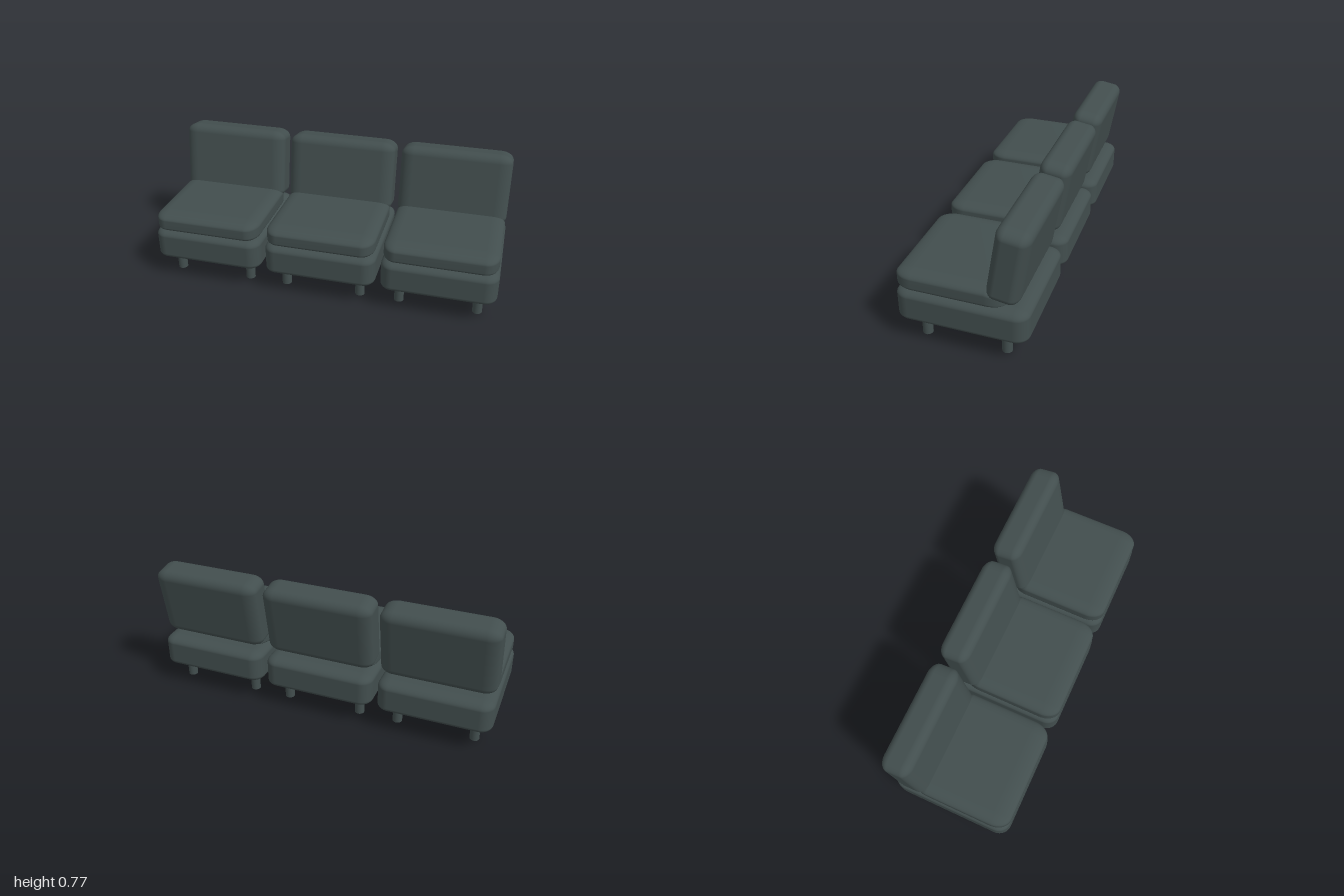
import * as THREE from 'three';
import { mergeVertices } from 'three/addons/utils/BufferGeometryUtils.js';
import { RoundedBoxGeometry } from 'three/addons/geometries/RoundedBoxGeometry.js';

const MODULE_SPACING = 0.675;

// Padded block whose edge radius differs along each axis
function cushion(w, h, d, rx, ry, rz) {
  return new RoundedBoxGeometry(w / rx, h / ry, d / rz, 6, 1).scale(rx, ry, rz);
}

// Seat cushion: its rear end slopes down under the backrest
function seatGeometry() {
  const h = 0.116, d = 0.585, rear = 0.1;
  let geo = cushion(0.628, h, d, 0.075, 0.035, rear);
  const p = geo.attributes.position;
  for (let i = 0; i < p.count; i++) {
    const t = THREE.MathUtils.clamp((-d / 2 + rear - p.getZ(i)) / rear, 0, 1);
    p.setY(i, -h / 2 + (p.getY(i) + h / 2) * (1 - 0.5 * Math.pow(t, 1.5)));
  }
  geo.deleteAttribute('normal');
  geo.deleteAttribute('uv');
  geo = mergeVertices(geo, 1e-5);
  geo.computeVertexNormals();
  return geo;
}

export function createModel() {
  const sofa = new THREE.Group();
  sofa.name = 'modularSofa';
  const fabric = new THREE.MeshStandardMaterial({ color: 0x424e4e });
  fabric.name = 'slate fabric';

  const baseGeo = cushion(0.645, 0.194, 0.705, 0.07, 0.04, 0.075);
  const seatGeo = seatGeometry();
  const backGeo = cushion(0.636, 0.418, 0.178, 0.075, 0.05, 0.05);
  const legGeo = new THREE.CylinderGeometry(0.0275, 0.0275, 0.14, 24);
  const linkGeo = new THREE.BoxGeometry(0.12, 0.014, 0.09);

  const add = (parent, name, geo, x, y, z) => {
    const mesh = new THREE.Mesh(geo, fabric);
    mesh.name = name;
    mesh.position.set(x, y, z);
    parent.add(mesh);
    return mesh;
  };

  // Three identical seat modules
  ['right', 'middle', 'left'].forEach((side, i) => {
    const unit = new THREE.Group();
    unit.name = side + 'Module';
    unit.position.x = (i - 1) * MODULE_SPACING;
    add(unit, 'base', baseGeo, 0, 0.216, 0.004);
    add(unit, 'seatCushion', seatGeo, 0, 0.361, 0.0645);
    add(unit, 'backCushion', backGeo, 0, 0.553, -0.2405).rotation.x = -0.164;
    for (const x of [-0.2225, 0.2225]) {
      add(unit, 'frontLeg', legGeo, x, 0.07, 0.225);
      add(unit, 'rearLeg', legGeo, x, 0.07, -0.215);
    }
    sofa.add(unit);
  });

  // Flat links joining neighbouring modules
  for (const s of [-1, 1]) {
    add(sofa, 'connector', linkGeo, s * MODULE_SPACING / 2, 0.14, 0);
  }
  return sofa;
}
